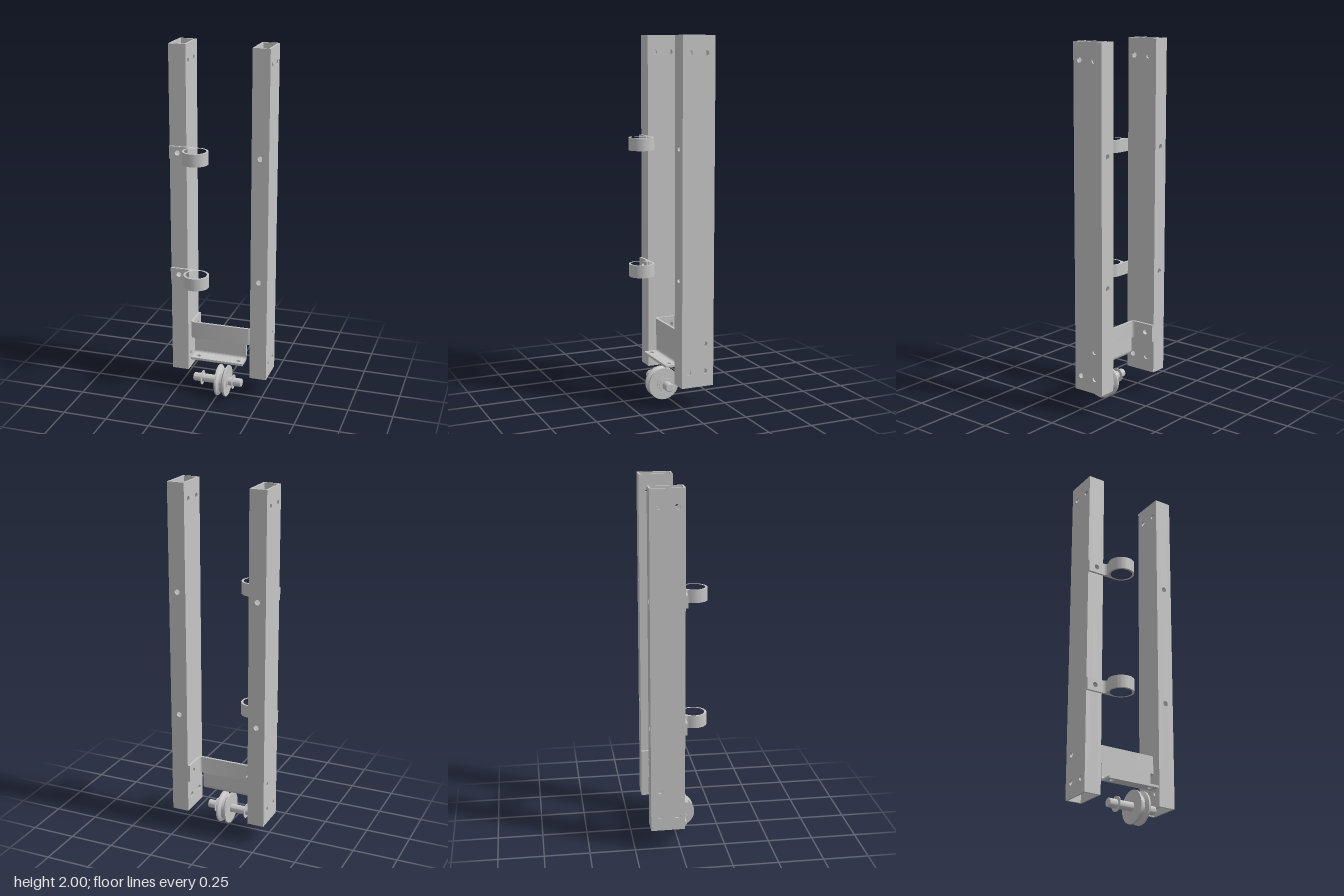
import * as THREE from 'three';
import { toCreasedNormals } from 'three/addons/utils/BufferGeometryUtils.js';

const steel = new THREE.MeshStandardMaterial({ color: 0xc6c6c6 });
steel.name = 'light steel grey';

function add(group, name, geometry) {
  const mesh = new THREE.Mesh(toCreasedNormals(geometry, 0.5), steel);
  mesh.name = name;
  group.add(mesh);
}

// Rectangle with round holes given as [x, y, radius]
function rect(x0, x1, y0, y1, holes = []) {
  const s = new THREE.Shape();
  s.moveTo(x0, y0).lineTo(x1, y0).lineTo(x1, y1).lineTo(x0, y1).closePath();
  for (const [x, y, r] of holes) {
    s.holes.push(new THREE.Path().absarc(x, y, r, 0, Math.PI * 2, true));
  }
  return s;
}

function extrude(shape, from, to) {
  const g = new THREE.ExtrudeGeometry(shape, { depth: to - from, bevelEnabled: false, curveSegments: 24 });
  return g.translate(0, 0, from);
}
// Along x the shape is drawn in (-z, y); along y it is drawn in (x, -z)
const alongX = (shape, from, to) => extrude(shape, from, to).rotateY(Math.PI / 2);
const alongY = (shape, from, to) => extrude(shape, from, to).rotateX(-Math.PI / 2);

// Hollow rectangular post with holes drilled through both pairs of walls
function post(name, cx) {
  const g = new THREE.Group();
  g.name = name;
  const half = 0.048, wall = 0.01, y0 = 0.124, y1 = 2, front = 0.022, back = -0.164;
  const r = 0.0145;
  const sideHoles = [[0.018, 1.907, r], [0.113, 1.907, r], [0.113, 0.359, r], [0.018, 0.207, r], [0.113, 0.207, r]];
  const faceHoles = [[cx, 1.414, r], [cx, 0.711, r]];
  const side = rect(-front, -back, y0, y1, sideHoles);
  const face = rect(cx - half + wall, cx + half - wall, y0, y1, faceHoles);
  add(g, 'rightWall', alongX(side, cx - half, cx - half + wall));
  add(g, 'leftWall', alongX(side, cx + half - wall, cx + half));
  add(g, 'frontWall', extrude(face, front - wall, front));
  add(g, 'backWall', extrude(face, back, back + wall));
  return g;
}

// Pipe clamp: drilled tab that sweeps into a ring
function clamp(name, y) {
  const g = new THREE.Group();
  g.name = name;
  const cx = -0.108, cv = -0.093, R = 0.071, h = 0.035;
  add(g, 'clampTab', extrude(rect(-0.278, -0.185, y - h, y + h, [[-0.23, y, 0.0145]]), 0.022, 0.035));
  const s = new THREE.Shape();
  s.moveTo(-0.185, -0.035).lineTo(-0.185, -0.022).lineTo(cx, -0.022);
  s.absarc(cx, cv, R, Math.PI / 2, -Math.PI * 7 / 6, true);
  s.quadraticCurveTo(-0.161, -0.037, -0.185, -0.035);
  s.holes.push(new THREE.Path().absarc(cx, cv, 0.059, 0, Math.PI * 2, true));
  add(g, 'clampRing', alongY(s, y - h, y + h));
  return g;
}

// Bent plate between the posts
function bracket() {
  const g = new THREE.Group();
  g.name = 'bracket';
  const w = 0.182, t = 0.013, bend = 0.026, vf = 0.015, y0 = 0.309, y1 = 0.407;
  const flange = rect(vf + bend, 0.164, y0, y1, [[0.113, 0.359, 0.0145]]);
  add(g, 'rightFlange', alongX(flange, -w, -w + t));
  add(g, 'leftFlange', alongX(flange, w - t, w));
  // Web with rounded corners
  const s = new THREE.Shape();
  s.moveTo(-w, vf + bend);
  s.absarc(-w + bend, vf + bend, bend, Math.PI, Math.PI * 1.5, false);
  s.absarc(w - bend, vf + bend, bend, Math.PI * 1.5, Math.PI * 2, false);
  s.lineTo(w - t, vf + bend);
  s.absarc(w - bend, vf + bend, bend - t, 0, -Math.PI / 2, true);
  s.absarc(-w + bend, vf + bend, bend - t, -Math.PI / 2, -Math.PI, true);
  s.closePath();
  add(g, 'web', alongY(s, y0, y1));
  // Lower web and forward lip
  const a = -0.154, b = 0.151, yb = 0.21;
  add(g, 'lowerWeb', alongX(rect(vf, vf + t, yb + bend, y0), a, b));
  const c = new THREE.Shape();
  const cv = vf + t - bend;
  c.moveTo(cv, yb);
  c.absarc(cv, yb + bend, bend, -Math.PI / 2, 0, false);
  c.lineTo(cv + bend - t, yb + bend);
  c.absarc(cv, yb + bend, bend - t, 0, -Math.PI / 2, true);
  c.closePath();
  add(g, 'lipBend', alongX(c, a, b));
  const lip = rect(a, b, -0.06, cv, [[-0.119, -0.029, 0.013], [0.116, -0.029, 0.013]]);
  add(g, 'lip', alongY(lip, yb, yb + t));
  return g;
}

// Grooved wheel on its axle, turned about the x axis
function pulley() {
  const g = new THREE.Group();
  g.name = 'pulley';
  const turn = (name, pts) => add(g, name,
    new THREE.LatheGeometry(pts.map(([r, x]) => new THREE.Vector2(r, x)), 48).rotateZ(-Math.PI / 2));
  const disc = (name, r, x0, x1) => turn(name, [[0, x0], [r, x0], [r, x1], [0, x1]]);
  turn('wheel', [[0, 0], [0.089, 0], [0.089, 0.01], [0.07, 0.022], [0.07, 0.036],
    [0.089, 0.048], [0.089, 0.058], [0, 0.058]]);
  disc('hub', 0.042, 0.05, 0.061);
  turn('axle', [[0, -0.145], [0.021, -0.145], [0.024, -0.142], [0.024, 0.137], [0.021, 0.14], [0, 0.14]]);
  disc('rightRetainingRing', 0.041, -0.096, -0.092);
  disc('leftRetainingRing', 0.041, 0.087, 0.091);
  g.position.set(0, 0.09, 0.03);
  return g;
}

export function createModel() {
  const model = new THREE.Group();
  model.name = 'pulleyFrame';
  model.add(post('rightPost', -0.23), post('leftPost', 0.23));
  model.add(clamp('upperClamp', 1.414), clamp('lowerClamp', 0.711));
  model.add(bracket(), pulley());
  return model;
}
